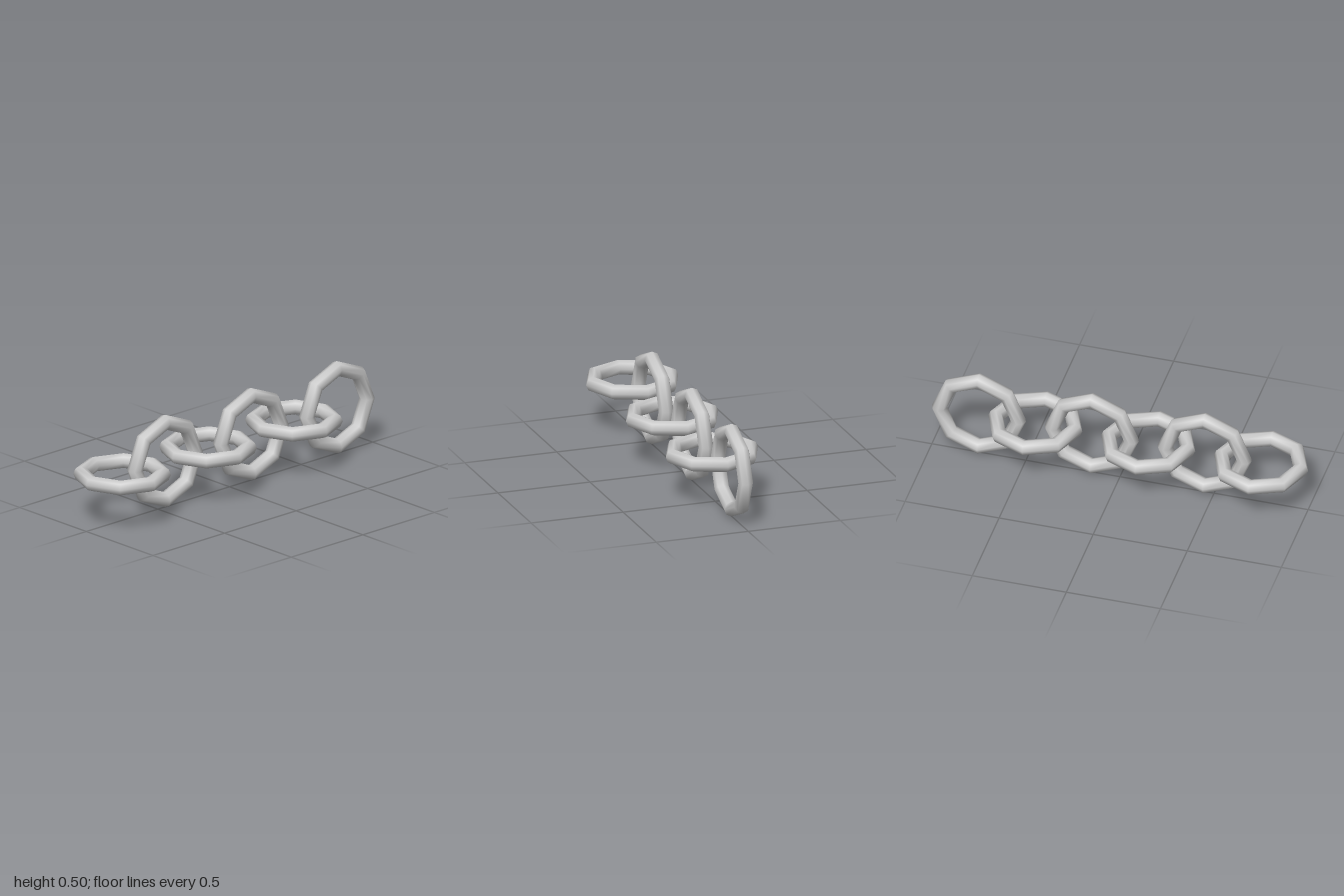
import * as THREE from 'three';

export function createModel() {
  const chain = new THREE.Group();
  chain.name = 'chain';
  const material = new THREE.MeshStandardMaterial({ color: 0xcccccc });

  // Eight-sided ring with an eight-sided tube, shared by all links
  const ring = new THREE.TorusGeometry(0.21, 0.04, 8, 8);

  // Links run front to back, lying flat and standing upright in turn
  const count = 6, spacing = 0.3;
  for (let i = 0; i < count; i++) {
    const flat = i % 2 === 0;
    const link = new THREE.Mesh(ring, material);
    link.name = (flat ? 'flatLink' : 'uprightLink') + (i + 1);
    link.position.set(0, 0.25, ((count - 1) / 2 - i) * spacing);
    if (flat) link.rotation.x = -Math.PI / 2;
    else link.rotation.y = Math.PI / 2;
    chain.add(link);
  }
  return chain;
}
